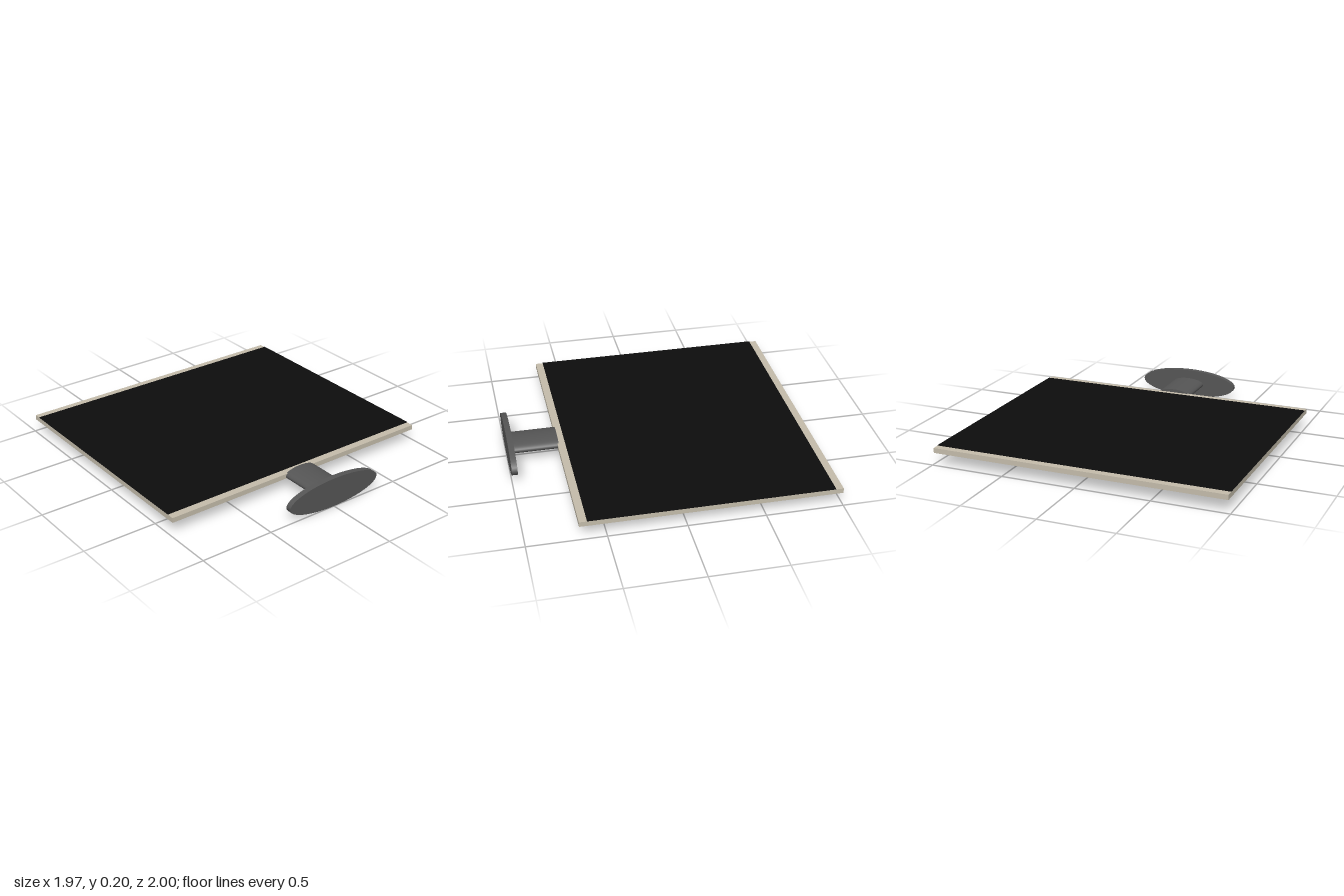
import * as THREE from 'three';

const BEIGE = 0xc4bcab, GREY = 0x555555, BLACK = 0x0d0d0d;
const CY = 0.1; // height of the stand's axis

function add(group, name, geometry, color) {
  const mesh = new THREE.Mesh(geometry, new THREE.MeshStandardMaterial({ color }));
  mesh.name = name;
  group.add(mesh);
  return mesh;
}

// Box given by its extents along each axis
function box(x0, x1, y0, y1, z0, z1) {
  return new THREE.BoxGeometry(x1 - x0, y1 - y0, z1 - z0)
    .translate((x0 + x1) / 2, (y0 + y1) / 2, (z0 + z1) / 2);
}

// Elliptical cylinder running along z
function ellipseRod(rx, ry, z0, z1) {
  return new THREE.CylinderGeometry(1, 1, z1 - z0, 48)
    .rotateX(Math.PI / 2)
    .scale(rx, ry, 1)
    .translate(0, CY, (z0 + z1) / 2);
}

export function createModel() {
  const model = new THREE.Group();
  model.name = 'flatMonitor';

  // Frame: a rectangular ring, open at the back
  const X = 0.985, ZB = -1, ZF = 0.67, rim = 0.05, y0 = 0.085, y1 = 0.118;
  const outline = new THREE.Shape([
    new THREE.Vector2(-X, -ZF), new THREE.Vector2(X, -ZF),
    new THREE.Vector2(X, -ZB), new THREE.Vector2(-X, -ZB),
  ]);
  outline.holes.push(new THREE.Path([
    new THREE.Vector2(-X + rim, -ZF + rim), new THREE.Vector2(-X + rim, -ZB - rim),
    new THREE.Vector2(X - rim, -ZB - rim), new THREE.Vector2(X - rim, -ZF + rim),
  ]));
  const frame = new THREE.ExtrudeGeometry(outline, { depth: y1 - y0, bevelEnabled: false })
    .rotateX(-Math.PI / 2).translate(0, y0, 0);
  add(model, 'frame', frame, BEIGE);

  // Recessed back panel and the display, which reaches the side edges
  add(model, 'backPanel', box(-X + rim, X - rim, y0 + 0.014, y1, ZB + rim, ZF - rim), GREY);
  add(model, 'screen', box(-X, X, y1, 0.122, ZB + rim, ZF - rim), BLACK);

  // Stand
  add(model, 'neck', ellipseRod(0.118, 0.04, 0.662, 0.965), GREY);
  add(model, 'base', ellipseRod(0.352, 0.1, 0.962, 1), GREY);

  return model;
}
